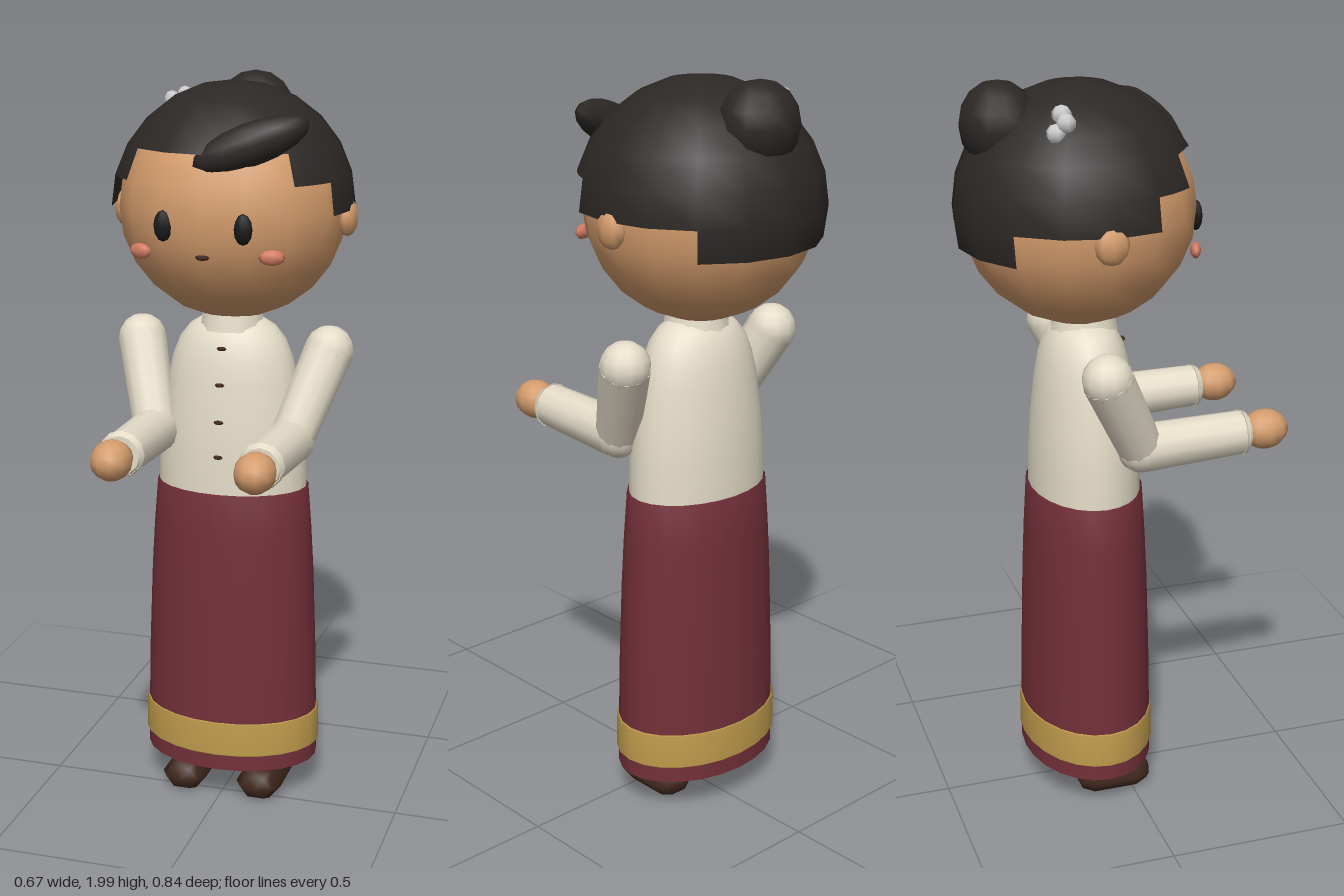
import * as THREE from 'three';

const mat = (color, side = THREE.FrontSide) => new THREE.MeshStandardMaterial({ color, side });
const V = (x, y, z) => new THREE.Vector3(x, y, z);

export function createModel() {
  const model = new THREE.Group();
  const skin = mat(0xd49c6c);
  const cloth = mat(0xe4dcc8, THREE.DoubleSide);
  const red = mat(0x74303a, THREE.DoubleSide);
  const gold = mat(0xc09c4c, THREE.DoubleSide);
  const hair = mat(0x2c2826, THREE.DoubleSide);
  const dark = mat(0x1c1a1a);
  const blush = mat(0xd27a62);
  const brown = mat(0x42291f);
  const silver = mat(0xc4c4c8);

  const add = (name, geometry, material, parent = model) => {
    const mesh = new THREE.Mesh(geometry, material);
    mesh.name = name;
    parent.add(mesh);
    return mesh;
  };
  // Stretched sphere
  const blob = (name, material, pos, size, w = 8, h = 6, parent = model) => {
    const mesh = add(name, new THREE.SphereGeometry(1, w, h), material, parent);
    mesh.position.set(...pos);
    mesh.scale.set(...size);
    return mesh;
  };
  // Tapered cylinder between two points
  const limb = (name, material, a, b, ra, rb, parent = model, open = false) => {
    const dir = b.clone().sub(a);
    const mesh = add(name, new THREE.CylinderGeometry(rb, ra, dir.length(), 12, 1, open), material, parent);
    mesh.position.copy(a).lerp(b, 0.5);
    mesh.quaternion.setFromUnitVectors(V(0, 1, 0), dir.normalize());
    return mesh;
  };
  // Turned shape with an oval section
  const oval = (name, material, points, depth, z, sides = 24) => {
    const mesh = add(name, new THREE.LatheGeometry(points.map(p => new THREE.Vector2(...p)), sides), material);
    mesh.scale.z = depth;
    mesh.position.z = z;
    return mesh;
  };

  // Head and neck
  const HY = 1.667, HZ = -0.105;
  blob('head', skin, [0, HY, HZ], [0.304, 0.3, 0.304], 16, 12);
  limb('neck', skin, V(0, 1.3, -0.09), V(0, 1.42, -0.09), 0.065, 0.065);
  limb('collar', cloth, V(0, 1.34, -0.09), V(0, 1.39, -0.09), 0.09, 0.08, model, true);

  // Hair cap: sectors around the head, each cut at its own height (degrees from the top)
  const cap = new THREE.Group();
  cap.name = 'hairCap';
  cap.position.set(0, HY, HZ);
  model.add(cap);
  const rad = THREE.MathUtils.degToRad;
  const sectors = [[-45, 90, 60], [45, 22.5, 75], [-67.5, 22.5, 75], [67.5, 67.5, 90], [-135, 67.5, 90], [135, 90, 105]];
  for (const [start, length, drop] of sectors) {
    add('hairSection', new THREE.SphereGeometry(0.324, length / 22.5, drop / 15,
      rad(start + 90), rad(length), 0, rad(drop)), hair, cap);
  }
  blob('hairBun', hair, [0, 1.89, -0.308], [0.11, 0.11, 0.1], 12, 8);
  const fringe = blob('fringe', hair, [0.108, 1.852, 0.118], [0.155, 0.055, 0.05], 12, 8);
  fringe.rotation.set(0, 0.3, 0.36);
  for (const [x, y, z] of [[-0.2, 1.925, -0.192], [-0.163, 1.938, -0.192], [-0.195, 1.9, -0.215]])
    blob('hairPin', silver, [x, y, z], [0.023, 0.025, 0.026], 6, 5);

  // Face
  blob('mouth', brown, [0, 1.573, 0.18], [0.019, 0.008, 0.012], 8, 4);
  for (const s of [-1, 1]) {
    blob('eye', dark, [s * 0.105, 1.648, 0.176], [0.025, 0.04, 0.018], 8, 6);
    const cheek = blob('cheek', blush, [s * 0.174, 1.577, 0.152], [0.034, 0.02, 0.014], 8, 6);
    cheek.rotation.y = s * 0.3;
    blob('ear', skin, [s * 0.306, 1.645, -0.11], [0.028, 0.05, 0.045], 8, 6);
  }

  // Blouse and buttons
  oval('blouse', cloth, [[0.208, 0.86], [0.206, 1], [0.196, 1.1], [0.18, 1.2], [0.166, 1.26],
    [0.146, 1.31], [0.118, 1.345], [0.085, 1.365], [0.05, 1.37]], 0.7, -0.095);
  [[1.3, 0.013], [1.205, 0.031], [1.105, 0.041], [1.01, 0.047]].forEach(([y, z]) =>
    blob('button', brown, [0, y, z], [0.014, 0.006, 0.01], 8, 4));

  // Skirt with a gold band above the hem
  oval('skirt', red, [[0.245, 0.108], [0.243, 0.25], [0.239, 0.42], [0.23, 0.65], [0.222, 0.78],
    [0.212, 0.905], [0.19, 0.906]], 0.72, -0.095);
  oval('skirtBand', gold, [[0.246, 0.152], [0.251, 0.156], [0.249, 0.248], [0.243, 0.25]], 0.72, -0.095);

  for (const s of [-1, 1]) {
    // Arms, bent forward at the elbow
    const arm = new THREE.Group();
    arm.name = s > 0 ? 'leftArm' : 'rightArm';
    model.add(arm);
    const shoulder = V(s * 0.263, 1.287, -0.108), elbow = V(s * 0.19, 1.062, 0.005), wrist = V(s * 0.186, 1.072, 0.29);
    blob('shoulder', cloth, shoulder.toArray(), [0.067, 0.067, 0.067], 12, 8, arm);
    limb('upperSleeve', cloth, shoulder, elbow, 0.067, 0.06, arm);
    blob('elbow', cloth, elbow.toArray(), [0.064, 0.064, 0.064], 12, 8, arm);
    limb('lowerSleeve', cloth, elbow, wrist, 0.064, 0.058, arm);
    limb('cuff', cloth, V(s * 0.186, 1.072, 0.282), V(s * 0.186, 1.072, 0.298), 0.062, 0.052, arm);
    blob('hand', skin, [s * 0.189, 1.074, 0.35], [0.055, 0.053, 0.065], 10, 8, arm);

    // Legs and shoes
    limb('leg', skin, V(s * 0.107, 0.06, -0.09), V(s * 0.107, 0.5, -0.09), 0.055, 0.062);
    const shoe = add('shoe', new THREE.CapsuleGeometry(0.05, 0.13, 2, 6), brown);
    shoe.rotation.x = Math.PI / 2;
    shoe.scale.set(1.3, 0.94, 0.95);
    shoe.position.set(s * 0.109, 0.0475, -0.048);
  }
  return model;
}
